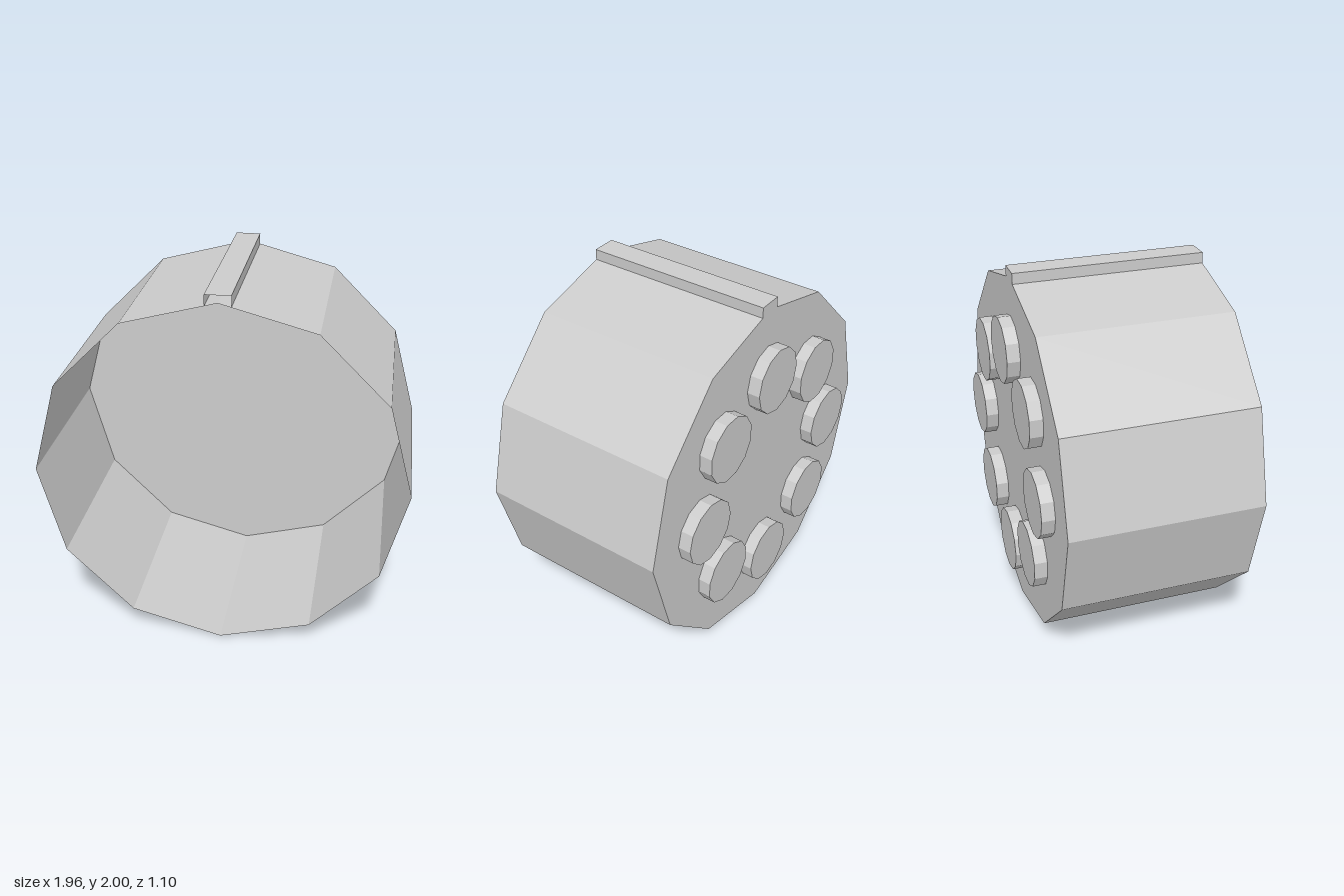
import * as THREE from 'three';

const SIDES = 12;
const RADIUS = 0.98;
const FRONT = 0.55, BACK = -0.48;
const DEPTH = FRONT - BACK;

const material = new THREE.MeshStandardMaterial({
  color: 0xcccccc, flatShading: true, side: THREE.DoubleSide,
});

function addMesh(parent, name, geometry, x, y, z) {
  const mesh = new THREE.Mesh(geometry, material);
  mesh.name = name;
  mesh.position.set(x, y, z);
  parent.add(mesh);
  return mesh;
}

// Twelve-sided tube along z, with a corner at the top
function tube(radius, length) {
  return new THREE.CylinderGeometry(radius, radius, length, SIDES, 1, true).rotateX(Math.PI / 2);
}

// Twelve-sided disc facing the back
function backDisc(radius) {
  return new THREE.CircleGeometry(radius, SIDES).rotateY(Math.PI);
}

export function createModel() {
  const model = new THREE.Group();
  model.name = 'drumHousing';

  // Thin shell, open at the front and closed at the back
  addMesh(model, 'shell', tube(RADIUS, DEPTH), 0, RADIUS, (FRONT + BACK) / 2);
  addMesh(model, 'backPlate', backDisc(RADIUS), 0, RADIUS, BACK);

  // Hollow ridge on top: a box without its bottom and front faces
  const ridge = new THREE.BoxGeometry(0.132, 0.06, DEPTH);
  const faces = Array.from(ridge.index.array);
  ridge.setIndex([0, 1, 2, 5].flatMap((side) => faces.slice(side * 6, side * 6 + 6)));
  ridge.clearGroups();
  addMesh(model, 'topRidge', ridge, 0, 1.97, (FRONT + BACK) / 2);

  // Ring of eight studs on the back plate, each turned with the ring
  const studRadius = 0.18, studHeight = 0.07, ringRadius = 0.59;
  for (let i = 0; i < 8; i++) {
    const angle = (i * Math.PI) / 4;
    const stud = new THREE.Group();
    stud.name = 'stud' + (i + 1);
    stud.position.set(Math.cos(angle) * ringRadius, RADIUS + Math.sin(angle) * ringRadius, BACK);
    stud.rotation.z = angle;
    addMesh(stud, 'studSide', tube(studRadius, studHeight), 0, 0, -studHeight / 2);
    addMesh(stud, 'studCap', backDisc(studRadius), 0, 0, -studHeight);
    model.add(stud);
  }
  return model;
}
